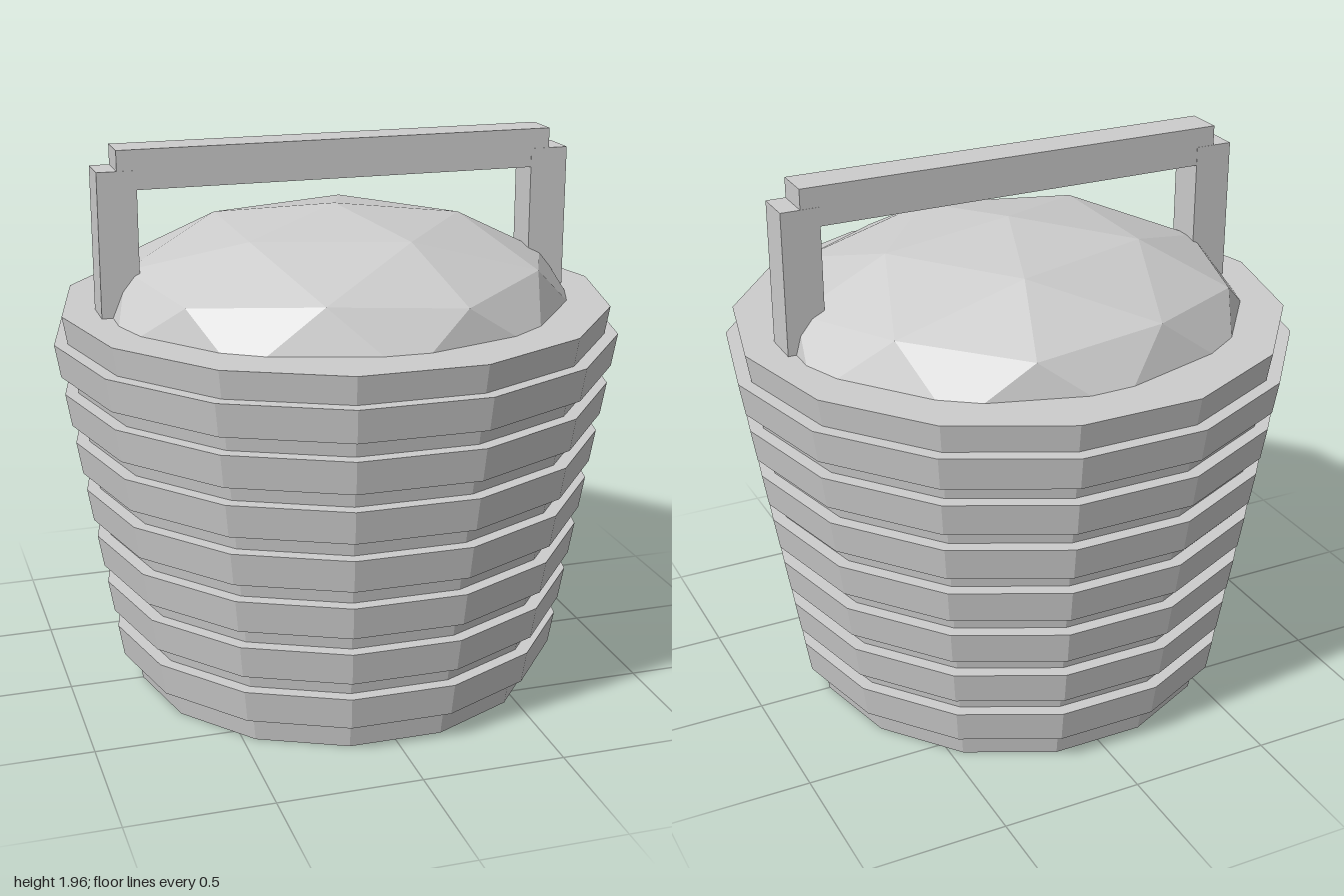
import * as THREE from 'three';

const SIDES = 14;

export function createModel() {
  const model = new THREE.Group();
  model.name = 'basket';

  const grey = new THREE.MeshStandardMaterial({ color: 0xcccccc, flatShading: true });
  grey.name = 'light grey';

  const add = (name, geometry, x = 0, y = 0, z = 0) => {
    const mesh = new THREE.Mesh(geometry, grey);
    mesh.name = name;
    mesh.position.set(x, y, z);
    model.add(mesh);
    return mesh;
  };

  // Tapered wall: radius grows steadily with height
  const wallRadius = (y) => 0.735 + 0.169 * y;
  const frustum = (y0, y1, offset) =>
    new THREE.CylinderGeometry(wallRadius(y1) + offset, wallRadius(y0) + offset, y1 - y0, SIDES)
      .rotateY(Math.PI / 2)
      .translate(0, (y0 + y1) / 2, 0);

  add('basketBody', frustum(0, 1.39, 0));

  // Seven raised bands around the wall
  for (let i = 0; i < 7; i++) {
    const y = 0.102 + i * 0.179;
    add(`band${i + 1}`, frustum(y, y + 0.116, 0.047));
  }

  // Faceted, flattened dome filling the basket, one corner pointing straight up
  const dome = new THREE.IcosahedronGeometry(1, 1)
    .rotateZ(-Math.atan2(1, (1 + Math.sqrt(5)) / 2))
    .scale(0.875, 0.4, 0.82);
  add('domedFilling', dome, 0, 1.325, 0);

  // Square handle: two posts and a crossbar
  for (const [name, side] of [['leftHandlePost', 1], ['rightHandlePost', -1]]) {
    add(name, new THREE.BoxGeometry(0.135, 0.54, 0.138), side * 0.776, 1.62, 0);
  }
  add('handleBar', new THREE.BoxGeometry(1.55, 0.136, 0.136), 0, 1.892, 0);

  return model;
}
